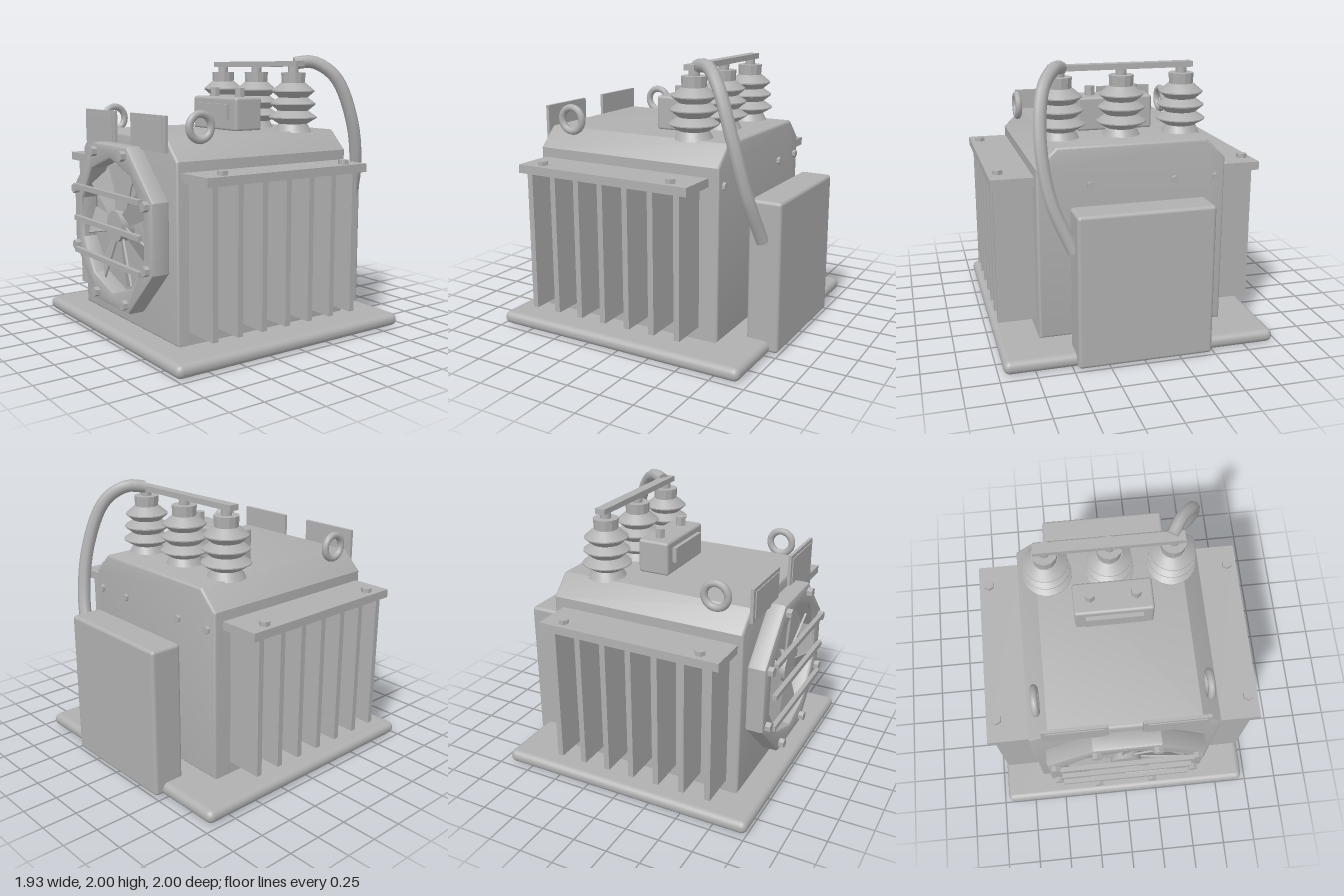
import * as THREE from 'three';
import { toCreasedNormals } from 'three/addons/utils/BufferGeometryUtils.js';
import { RoundedBoxGeometry } from 'three/addons/geometries/RoundedBoxGeometry.js';

export function createModel() {
  const root = new THREE.Group();
  root.name = 'transformer';
  const grey = new THREE.MeshStandardMaterial({ color: 0xb0b0b0 });
  grey.name = 'paintedSteelGrey';

  const add = (name, geo, x = 0, y = 0, z = 0, parent = root) => {
    const m = new THREE.Mesh(geo, grey);
    m.name = name;
    m.position.set(x, y, z);
    parent.add(m);
    return m;
  };
  // Box given by its minimum and maximum corners, with optional rounded edges
  const box = (name, [x0, y0, z0], [x1, y1, z1], r = 0) => {
    const s = [x1 - x0, y1 - y0, z1 - z0];
    const geo = r ? new RoundedBoxGeometry(...s, 3, r) : new THREE.BoxGeometry(...s);
    return add(name, geo, (x0 + x1) / 2, (y0 + y1) / 2, (z0 + z1) / 2);
  };
  // Hexagonal bolt head standing on a surface along +y, +z or -z
  const bolt = (name, x, y, z, axis, r = 0.035, h = 0.035) => {
    const geo = new THREE.CylinderGeometry(r, r, h, 6).translate(0, h / 2, 0);
    if (axis === 'z') geo.rotateX(Math.PI / 2);
    if (axis === '-z') geo.rotateX(-Math.PI / 2);
    return add(name, toCreasedNormals(geo, 0.5), x, y, z);
  };
  const polygon = (n, r, offset) => Array.from({ length: n }, (_, i) => {
    const a = offset + (i * 2 * Math.PI) / n;
    return new THREE.Vector2(r * Math.cos(a), r * Math.sin(a));
  });
  // Bevelled extrusion that keeps the outline as its outer size, spanning z0 to z1
  const extrude = (shape, z0, z1, b, segments) => toCreasedNormals(
    new THREE.ExtrudeGeometry(shape, {
      depth: z1 - z0 - 2 * b, bevelEnabled: b > 0, bevelSize: b, bevelThickness: b,
      bevelOffset: -b, bevelSegments: segments,
    }).translate(0, 0, z0 + b), 0.6);

  // Base slab and tank with chamfered shoulders
  box('base', [-0.965, 0.005, -0.94], [0.965, 0.1, 1.0], 0.045);
  const tank = new THREE.Shape([
    [-0.67, 0.1], [0.67, 0.1], [0.67, 1.32], [0.53, 1.46], [-0.53, 1.46], [-0.67, 1.32],
  ].map(p => new THREE.Vector2(...p)));
  add('tank', extrude(tank, -0.64, 0.815, 0.02, 3));

  // Side radiators: cap plate, cooling fins and bolts
  for (const s of [1, -1]) {
    const span = (a, b) => (s > 0 ? [a, b] : [-b, -a]);
    const [px0, px1] = span(0.66, 0.965), [fx0, fx1] = span(0.66, 0.94);
    box('radiatorCap', [px0, 1.19, -0.565], [px1, 1.25, 0.78]);
    for (let i = 0; i < 7; i++) {
      const z = 0.705 - i * 0.197;
      box('radiatorFin', [fx0, 0.19, z - 0.021], [fx1, 1.19, z + 0.021]);
    }
    for (const z of [-0.41, 0.62]) bolt('radiatorBolt', s * 0.895, 1.25, z, 'y', 0.038, 0.03);

    // Lifting ring
    add('liftingRing', new THREE.TorusGeometry(0.086, 0.026, 10, 28).rotateY(Math.PI / 2),
      s * 0.595, 1.53, 0.585);

    // Front plates with raised panel
    const [ax, bx] = span(0.115, 0.57), [cx, dx] = span(0.145, 0.54);
    box('namePlate', [ax, 1.37, 0.815], [bx, 1.61, 0.838]);
    box('namePlatePanel', [cx, 1.395, 0.838], [dx, 1.585, 0.845]);

    // Rear tank bolts
    for (const x of [0.3, 0.6]) bolt('rearBolt', s * x, 1.19, -0.638, '-z', 0.028, 0.024);
  }

  // Fan shroud: octagon with a ten-sided opening
  const fanY = 0.815;
  const shroud = new THREE.Shape(polygon(8, 0.622, Math.PI / 8));
  shroud.holes.push(new THREE.Path(polygon(10, 0.475, Math.PI / 2)));
  add('fanShroud', extrude(shroud, 0.81, 0.945, 0.02, 2), 0, fanY, 0);
  for (const p of polygon(8, 0.555, Math.PI / 8)) bolt('shroudBolt', p.x, fanY + p.y, 0.945, 'z', 0.036, 0.038);

  // Fan hub and pitched blades
  add('fanHub', toCreasedNormals(new THREE.CylinderGeometry(0.112, 0.112, 0.1, 16), 0.6).rotateX(Math.PI / 2), 0, fanY, 0.865);
  const blade = new THREE.Shape([[-0.045, 0.08], [0.045, 0.08], [0.1, 0.43], [-0.1, 0.43]]
    .map(p => new THREE.Vector2(...p)));
  const bladeGeo = extrude(blade, -0.007, 0.007, 0, 1).rotateY(0.35);
  for (let i = 0; i < 7; i++) {
    add('fanBlade', bladeGeo, 0, fanY, 0.868).rotation.z = -0.17 + (i * 2 * Math.PI) / 7;
  }
  // Guard bars
  for (const y of [0.575, 0.815, 1.052]) box('guardBar', [-0.48, y - 0.018, 0.963], [0.48, y + 0.018, 0.996]);

  // Insulators with three sheds, cap and stud, joined by a bus bar
  const insZ = -0.33;
  const shedProfile = [
    [0.0, 1.45], [0.138, 1.45], [0.125, 1.475], [0.105, 1.51], [0.175, 1.553], [0.175, 1.56],
    [0.11, 1.605], [0.165, 1.65], [0.165, 1.658], [0.105, 1.7], [0.155, 1.742], [0.155, 1.75],
    [0.09, 1.805], [0.0, 1.805],
  ].map(p => new THREE.Vector2(...p));
  const shedGeo = toCreasedNormals(new THREE.LatheGeometry(shedProfile, 24), 0.5);
  const capGeo = toCreasedNormals(new THREE.CylinderGeometry(0.09, 0.085, 0.08, 12), 0.4);
  const studGeo = toCreasedNormals(new THREE.CylinderGeometry(0.038, 0.038, 0.06, 10), 0.7);
  for (const x of [-0.44, 0, 0.44]) {
    add('insulator', shedGeo, x, 0, insZ);
    add('insulatorCap', capGeo, x, 1.84, insZ);
    add('insulatorStud', studGeo, x, 1.9, insZ);
  }
  box('busBar', [-0.515, 1.92, insZ - 0.038], [0.515, 1.96, insZ + 0.038]);

  // Control box on the tank lid
  box('controlBox', [-0.277, 1.455, -0.17], [0.277, 1.7, 0.065], 0.02);
  box('controlPanel', [-0.2, 1.54, 0.06], [0.2, 1.65, 0.095]);
  for (const x of [-0.16, 0.16]) bolt('controlKnob', x, 1.695, -0.055, 'y', 0.039, 0.07);

  // Rear cabinet
  box('rearCabinet', [-0.473, 0.02, -1.0], [0.473, 1.09, -0.765], 0.025);

  // Cable from the bus bar down to the cabinet
  const path = new THREE.CatmullRomCurve3([
    [0.43, 1.945, -0.345], [0.5, 1.955, -0.46], [0.6, 1.85, -0.59],
    [0.65, 1.53, -0.72], [0.605, 1.15, -0.81], [0.47, 0.81, -0.87],
  ].map(p => new THREE.Vector3(...p)));
  add('cable', new THREE.TubeGeometry(path, 28, 0.046, 8));
  // Cable end caps
  for (const t of [0, 1]) {
    const cap = add('cableEnd', new THREE.CircleGeometry(0.046, 8));
    cap.position.copy(path.getPoint(t));
    const out = path.getTangent(t).multiplyScalar(t ? 1 : -1);
    cap.quaternion.setFromUnitVectors(new THREE.Vector3(0, 0, 1), out);
  }
  return root;
}
